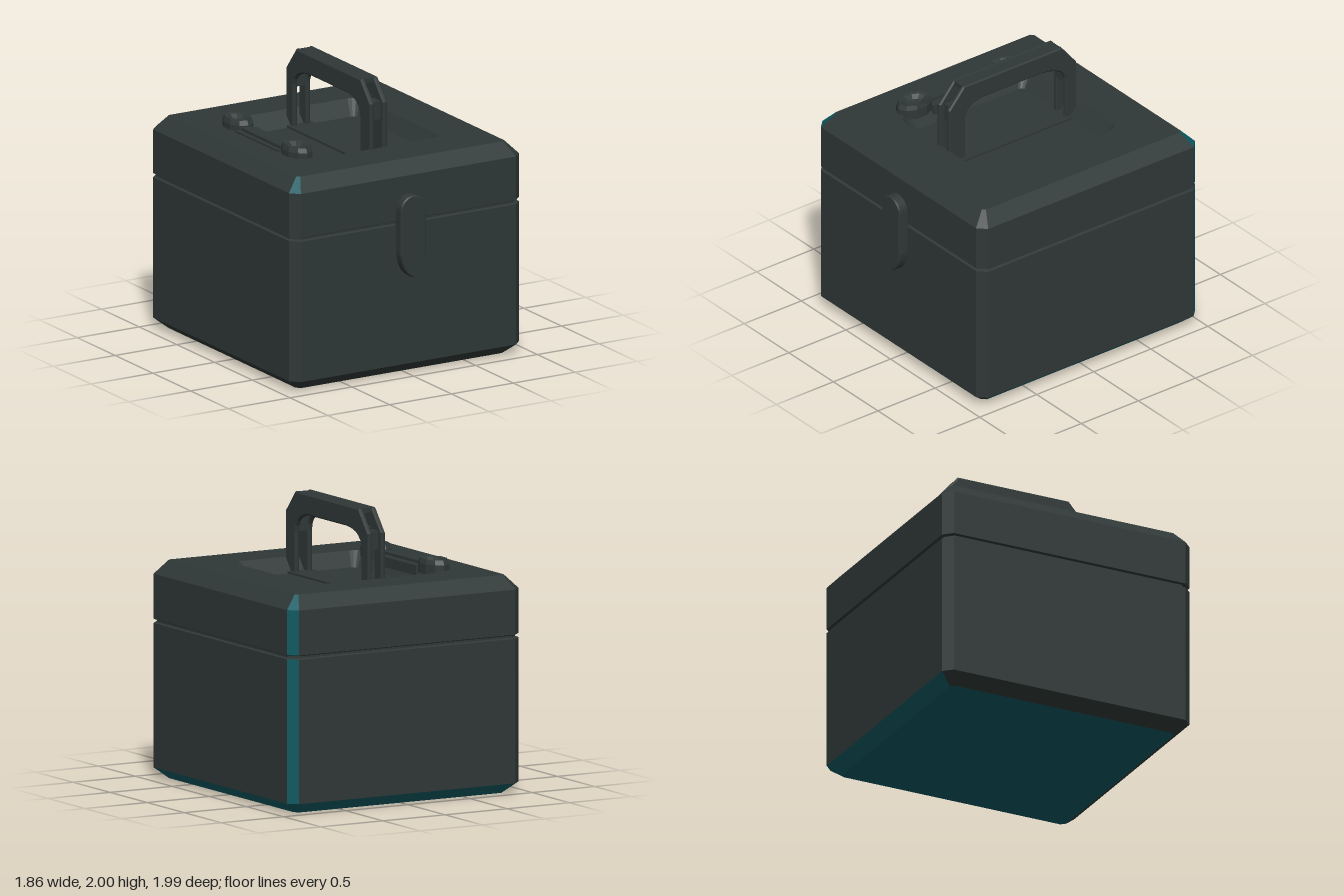
import * as THREE from 'three';

const charcoal = new THREE.MeshStandardMaterial({ color: 0x2f3837 });
charcoal.name = 'charcoal';
const teal = new THREE.MeshStandardMaterial({ color: 0x0b5a62 });
teal.name = 'teal';

// Horizontal rectangle with cut corners, counter-clockwise seen from above.
// Side order: 0 front-left corner, 1 left (+x), 2 back-left corner, 3 back, 4, 5 right, 6, 7 front
function ring(y, hx, front, back, c) {
  return [
    [hx - c, front], [hx, front - c], [hx, back + c], [hx - c, back],
    [-hx + c, back], [-hx, back + c], [-hx, front - c], [-hx + c, front],
  ].map(([x, z]) => new THREE.Vector3(x, y, z));
}

// Horizontal rectangle with rounded corners, same direction
function roundRing(y, hx, front, back, r, steps = 4) {
  const pts = [];
  const corners = [[hx - r, front - r], [hx - r, back + r], [-hx + r, back + r], [-hx + r, front - r]];
  corners.forEach(([cx, cz], k) => {
    for (let i = 0; i <= steps; i++) {
      const a = (k + i / steps) * Math.PI / 2;
      pts.push(new THREE.Vector3(cx + r * Math.sin(a), y, cz + r * Math.cos(a)));
    }
  });
  return pts;
}

// Faceted skin through successive rings; tealSides[k] lists the teal sides of band k
function loft(name, rings, tealSides = [], bottomCap = false, topCap = false) {
  const dark = [], accent = [];
  const tri = (list, ...p) => p.forEach((v) => list.push(v.x, v.y, v.z));
  for (let k = 0; k < rings.length - 1; k++) {
    const lo = rings[k], hi = rings[k + 1], n = lo.length;
    for (let i = 0; i < n; i++) {
      const list = (tealSides[k] || []).includes(i) ? accent : dark;
      const j = (i + 1) % n;
      tri(list, lo[i], lo[j], hi[j]);
      tri(list, lo[i], hi[j], hi[i]);
    }
  }
  const first = rings[0], last = rings[rings.length - 1];
  for (let i = 1; i < first.length - 1; i++) {
    if (bottomCap) tri(accent, first[0], first[i + 1], first[i]);
    if (topCap) tri(dark, last[0], last[i], last[i + 1]);
  }
  const g = new THREE.BufferGeometry();
  g.setAttribute('position', new THREE.Float32BufferAttribute([...dark, ...accent], 3));
  g.computeVertexNormals();
  g.addGroup(0, dark.length / 3, 0);
  g.addGroup(dark.length / 3, accent.length / 3, 1);
  const m = new THREE.Mesh(g, [charcoal, teal]);
  m.name = name;
  return m;
}

function part(name, geometry) {
  const m = new THREE.Mesh(geometry, charcoal);
  m.name = name;
  return m;
}

// Box given by its limits on each axis
function box(name, x0, x1, y0, y1, z0, z1) {
  const g = new THREE.BoxGeometry(x1 - x0, y1 - y0, z1 - z0);
  g.translate((x0 + x1) / 2, (y0 + y1) / 2, (z0 + z1) / 2);
  return part(name, g);
}

export function createModel() {
  const model = new THREE.Group();
  model.name = 'toolCase';
  const F = 0.93, B = -0.99, TOP = 1.525, FLOOR = 1.42;

  // Lower case, ending in the groove under the lid
  model.add(loft('caseBody', [
    ring(0, 0.84, 0.84, -0.9, 0.03),
    ring(0.075, 0.93, F, B, 0.06),
    ring(1.085, 0.93, F, B, 0.06),
    ring(1.093, 0.912, F - 0.018, B + 0.018, 0.06),
    ring(1.107, 0.912, F - 0.018, B + 0.018, 0.06),
  ], [[1, 2, 3], [2]], true));

  // Lid walls and chamfer
  const lidTop = ring(TOP, 0.84, 0.84, -0.9, 0.02);
  model.add(loft('lid', [
    ring(1.107, 0.912, F - 0.018, B + 0.018, 0.06),
    ring(1.115, 0.93, F, B, 0.06),
    ring(1.43, 0.93, F, B, 0.06),
    lidTop,
  ], [[], [2], [2, 6]]));

  // Lid top with an opening for the handle well
  const rim = roundRing(TOP, 0.52, 0.53, -0.6, 0.08);
  const flat = (pts) => pts.map((p) => new THREE.Vector2(p.x, -p.z));
  const topShape = new THREE.Shape(flat(lidTop));
  topShape.holes.push(new THREE.Path(flat(rim)));
  const topGeo = new THREE.ShapeGeometry(topShape);
  topGeo.rotateX(-Math.PI / 2).translate(0, TOP, 0);
  model.add(part('lidTop', topGeo));
  model.add(loft('handleWell', [rim, roundRing(FLOOR, 0.45, 0.45, -0.51, 0.04)], [], false, true));

  // Carrying handle: two side rails joined by a top skin, an inner skin and cross pieces
  const handle = new THREE.Group();
  handle.name = 'handle';
  const s = new THREE.Shape();
  s.moveTo(0.54, FLOOR);
  s.lineTo(0.54, 1.85);
  s.lineTo(0.41, 2.0);
  s.lineTo(-0.45, 2.0);
  s.lineTo(-0.58, 1.84);
  s.lineTo(-0.58, FLOOR);
  s.lineTo(-0.48, FLOOR);
  s.lineTo(-0.48, 1.74);
  s.quadraticCurveTo(-0.46, 1.84, -0.28, 1.855);
  s.lineTo(0.24, 1.855);
  s.quadraticCurveTo(0.4, 1.83, 0.4, 1.72);
  s.lineTo(0.4, FLOOR);
  s.closePath();
  for (const side of [-1, 1]) {
    const g = new THREE.ExtrudeGeometry(s, {
      depth: 0.015, bevelThickness: 0.01, bevelSize: 0.01, bevelOffset: -0.01, bevelSegments: 1, curveSegments: 5,
    });
    g.translate(0, 0, -0.0075 + side * 0.0525).rotateY(-Math.PI / 2);
    handle.add(part('handleRail', g));
  }
  handle.add(box('handleTopSkin', -0.045, 0.045, 1.965, 1.997, -0.45, 0.41));
  handle.add(box('handleInnerSkin', -0.045, 0.045, 1.855, 1.87, -0.45, 0.38));
  handle.add(box('frontCrossPiece', -0.045, 0.045, 1.72, 1.85, 0.4, 0.5));
  handle.add(box('backCrossPiece', -0.045, 0.045, 1.72, 1.85, -0.54, -0.47));
  handle.add(box('handleBase', -0.1, 0.1, FLOOR - 0.01, FLOOR + 0.015, -0.53, 0.47));
  model.add(handle);

  // Double-ended spoon-like tool lying on the right edge of the well
  const tool = new THREE.Group();
  tool.name = 'lidTool';
  const profile = [[1, -0.03], [1, 0.04], [0.88, 0.072], [0.72, 0.066], [0.45, 0.04], [0, 0.034]]
    .map(([r, y]) => new THREE.Vector2(r, y));
  for (const [z, len] of [[-0.42, 0.14], [0.36, 0.14]]) {
    const g = new THREE.LatheGeometry(profile, 10).toNonIndexed();
    g.scale(0.097, 1, len).translate(-0.555, TOP, z);
    g.computeVertexNormals();
    tool.add(part('toolCup', g));
  }
  tool.add(box('toolShank', -0.645, -0.475, TOP - 0.06, TOP + 0.012, -0.31, 0.25));
  tool.add(box('toolBar', -0.61, -0.53, TOP, TOP + 0.032, -0.28, 0.23));
  model.add(tool);

  // Front latch: rounded above, pointed below
  const l = new THREE.Shape();
  l.moveTo(-0.1, 1.2);
  l.lineTo(-0.1, 0.88);
  l.quadraticCurveTo(-0.08, 0.74, 0, 0.71);
  l.quadraticCurveTo(0.08, 0.74, 0.1, 0.88);
  l.lineTo(0.1, 1.2);
  l.absarc(0, 1.2, 0.1, 0, Math.PI, false);
  const latch = new THREE.ExtrudeGeometry(l, {
    depth: 0.075, bevelThickness: 0.01, bevelSize: 0.008, bevelOffset: -0.008, bevelSegments: 1, curveSegments: 8,
  });
  latch.translate(0, 0, 0.915);
  model.add(part('frontLatch', latch));

  return model;
}
